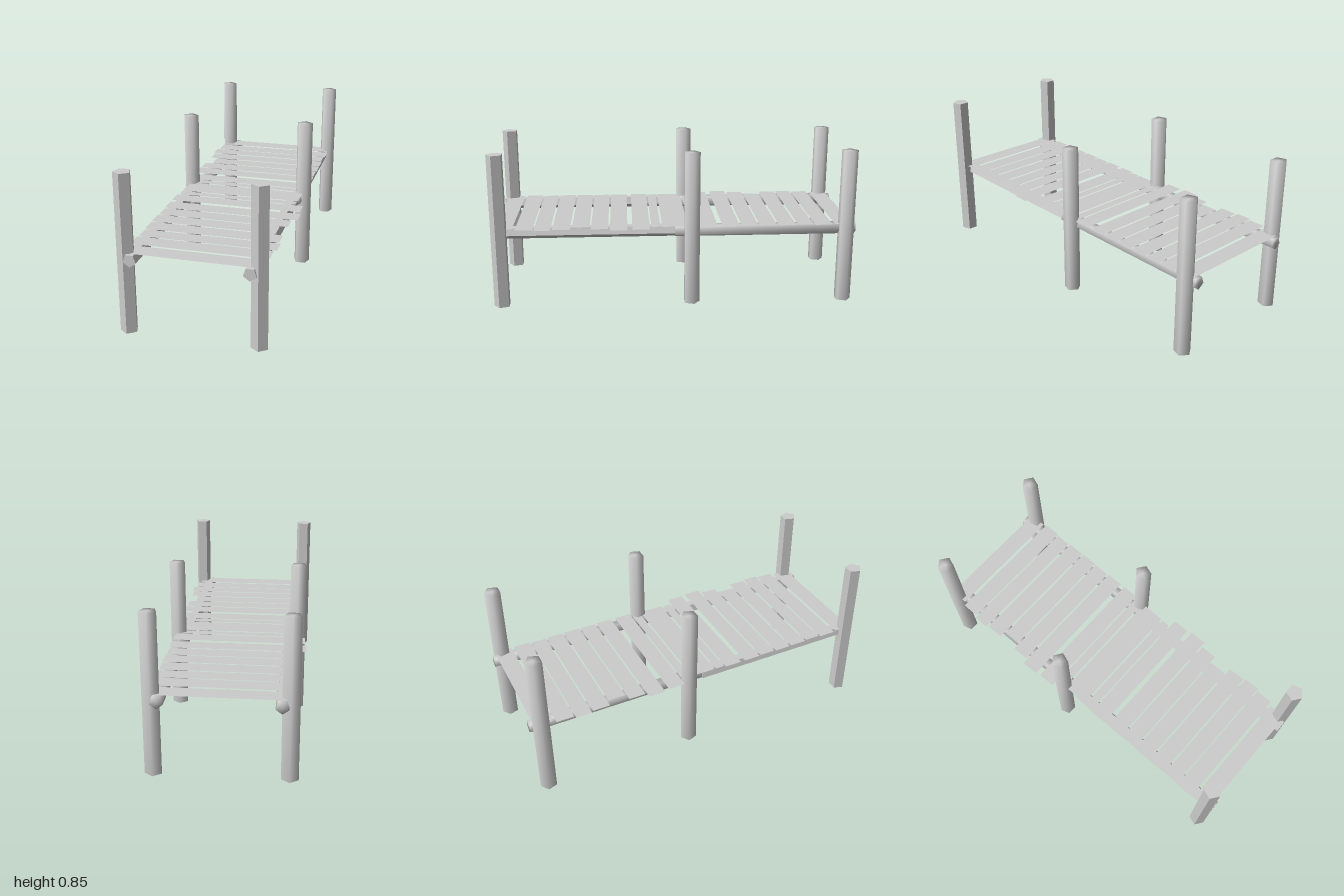
import * as THREE from 'three';

const DECK_Y = 0.438;

// Planks of one half: [near z, far z, right end x, left end x]
const PLANKS = [
  [0.0, 0.07, -0.344, 0.342],
  [0.08, 0.13, -0.344, 0.338],
  [0.138, 0.233, -0.354, 0.385],
  [0.26, 0.355, -0.354, 0.395],
  [0.365, 0.458, -0.35, 0.365],
  [0.466, 0.561, -0.354, 0.323],
  [0.571, 0.667, -0.352, 0.365],
  [0.677, 0.765, -0.346, 0.376],
  [0.772, 0.868, -0.354, 0.362],
  [0.884, 0.982, -0.346, 0.344],
];

// Five-sided log, faceted, or smooth with the shading rounded over its ends
function logGeometry(radius, length, smooth, openBottom) {
  let g = new THREE.CylinderGeometry(radius, radius, length, 5);
  if (openBottom) {
    // The last five triangles are the bottom cap
    g.setIndex(Array.from(g.index.array).slice(0, -15));
  }
  if (!smooth) {
    g = g.toNonIndexed();
    g.computeVertexNormals();
    return g;
  }
  const p = g.attributes.position;
  const n = new THREE.Vector3();
  for (let i = 0; i < p.count; i++) {
    const top = p.getY(i) > 0;
    const tilt = top ? 0.4 : openBottom ? 0 : -0.4;
    n.set(p.getX(i) / radius, tilt, p.getZ(i) / radius).normalize();
    g.attributes.normal.setXYZ(i, n.x, n.y, n.z);
  }
  return g;
}

// Paper-thin deck board
function plankGeometry(z0, z1, x0, x1) {
  return new THREE.PlaneGeometry(x1 - x0, z1 - z0)
    .rotateX(-Math.PI / 2)
    .translate((x0 + x1) / 2, DECK_Y, (z0 + z1) / 2);
}

export function createModel() {
  const wood = new THREE.MeshStandardMaterial({ color: 0xcccccc, side: THREE.DoubleSide });
  wood.name = 'wood';
  const model = new THREE.Group();
  model.name = 'dock';

  function add(parent, name, geometry) {
    const mesh = new THREE.Mesh(geometry, wood);
    mesh.name = name;
    parent.add(mesh);
  }

  // One half of the dock; the back half is the same turned half round
  function half(name, smooth, postZs) {
    const group = new THREE.Group();
    group.name = name;

    // Upright posts, open underneath
    for (const z of postZs) {
      for (const x of [-0.341, 0.339]) {
        add(group, 'post', logGeometry(0.046, 0.851, smooth, true).translate(x, 0.4255, z));
      }
    }

    // Beams under the deck, pointed edge down
    for (const x of [-0.308, 0.298]) {
      add(group, 'beam', logGeometry(0.0355, 1, smooth, false).rotateX(Math.PI / 2).translate(x, 0.408, 0.5));
    }

    // Deck boards
    for (const p of PLANKS) add(group, 'plank', plankGeometry(...p));

    model.add(group);
    return group;
  }

  half('frontHalf', false, [0.954]);
  half('backHalf', true, [0.944, 0.09]).rotation.y = Math.PI;
  return model;
}
